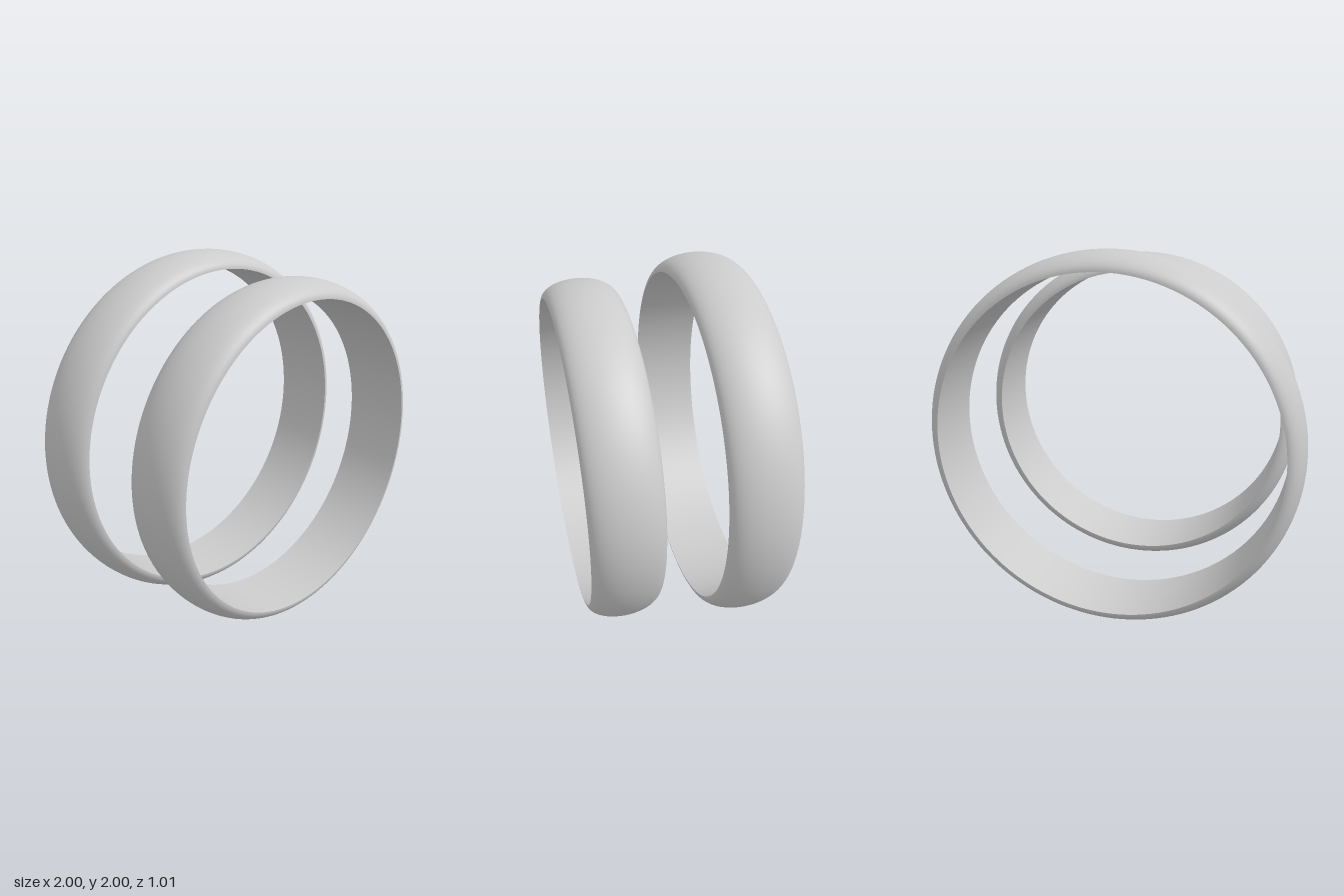
import * as THREE from 'three';

const SEGMENTS = 128;
const HALF_WIDTH = 0.183;

// Ring band: domed elliptical outside, flat cylindrical inside
function makeRing(name, outerRadius, innerRadius, z, material) {
  const ring = new THREE.Group();
  ring.name = name;

  const dome = [];
  const steps = 32;
  for (let i = 0; i <= steps; i++) {
    const a = Math.PI * (i / steps - 0.5);
    dome.push(new THREE.Vector2(
      innerRadius + (outerRadius - innerRadius) * Math.cos(a),
      HALF_WIDTH * Math.sin(a)
    ));
  }
  // Running top to bottom turns the inner wall towards the axis
  const bore = [
    new THREE.Vector2(innerRadius, HALF_WIDTH),
    new THREE.Vector2(innerRadius, -HALF_WIDTH),
  ];

  for (const [part, profile] of [['outerDome', dome], ['innerWall', bore]]) {
    const geometry = new THREE.LatheGeometry(profile, SEGMENTS);
    geometry.rotateX(Math.PI / 2);
    const mesh = new THREE.Mesh(geometry, material);
    mesh.name = part;
    ring.add(mesh);
  }

  ring.position.set(0, 1, z);
  return ring;
}

export function createModel() {
  const model = new THREE.Group();
  model.name = 'ringPair';
  const material = new THREE.MeshStandardMaterial({ color: 0xcccccc });
  model.add(makeRing('smallRing', 0.924, 0.836, 0.322, material));
  model.add(makeRing('largeRing', 1.0, 0.912, -0.322, material));
  return model;
}
